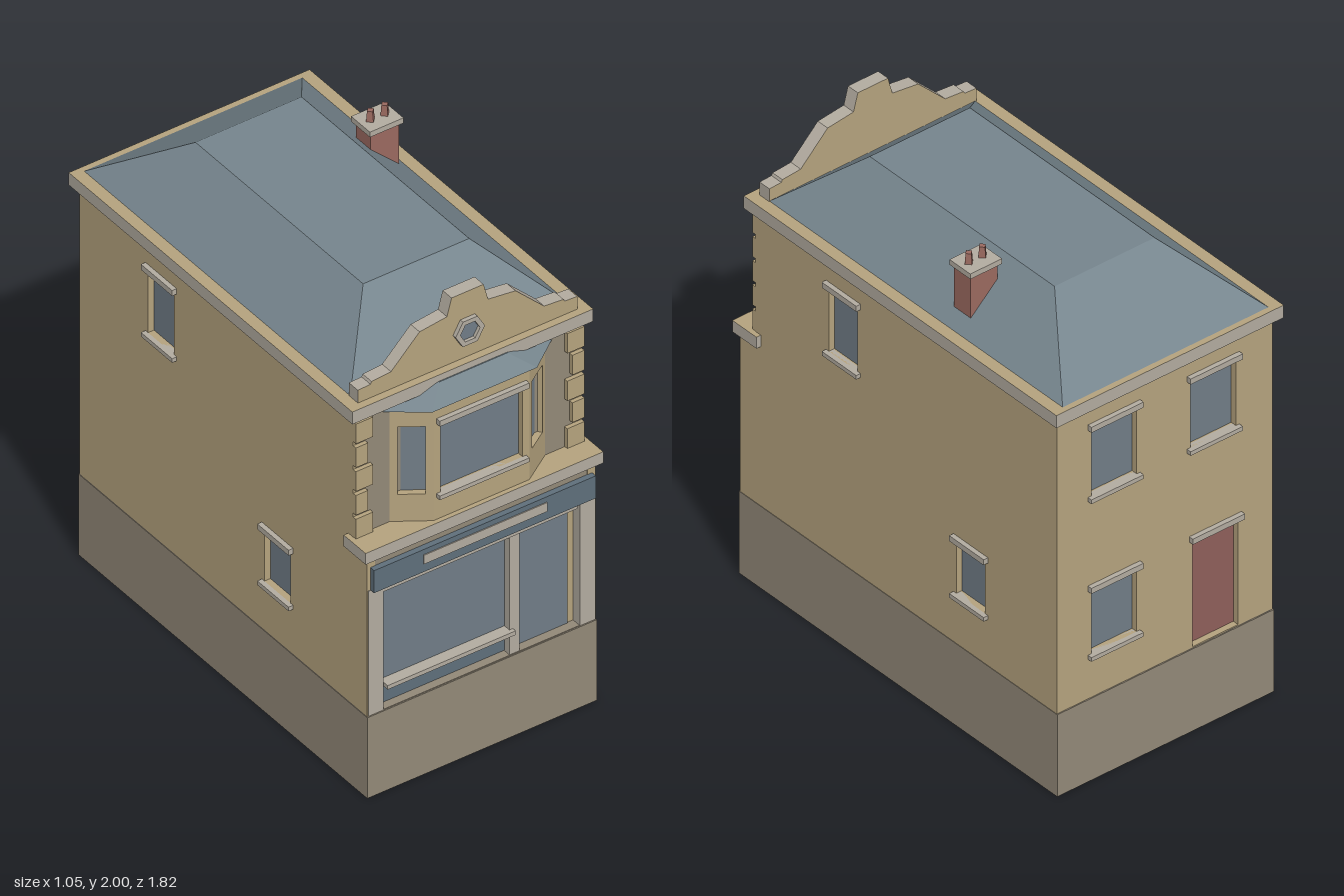
import * as THREE from 'three';
import { ConvexGeometry } from 'three/addons/geometries/ConvexGeometry.js';

const mat = (name, color) => Object.assign(new THREE.MeshStandardMaterial({ color }), { name });

export function createModel() {
  const wall = mat('sand wall', 0xb5a37e);
  const stone = mat('pale stone', 0xb3aca0);
  const plinth = mat('brown stone', 0x938978);
  const slate = mat('roof slate', 0x76858d);
  const glass = mat('window glass', 0x717d87);
  const paint = mat('shop paint', 0x5f6f7b);
  const brick = mat('chimney brick', 0x9b6a60);
  const doorRed = mat('door red', 0x8f5f5b);

  const model = new THREE.Group();
  model.name = 'cornerShop';

  const add = (parent, name, geometry, material) => {
    const mesh = new THREE.Mesh(geometry, material);
    mesh.name = name;
    parent.add(mesh);
    return mesh;
  };
  // Box given by its limits on each axis
  const box = (parent, name, [x0, x1], [y0, y1], [z0, z1], material) => {
    const mesh = add(parent, name, new THREE.BoxGeometry(x1 - x0, y1 - y0, z1 - z0), material);
    mesh.position.set((x0 + x1) / 2, (y0 + y1) / 2, (z0 + z1) / 2);
    return mesh;
  };
  const polygon = (points) => new THREE.Shape(points.map(([x, y]) => new THREE.Vector2(x, y)));
  const rect = (x0, x1, y0, y1) => polygon([[x0, y0], [x1, y0], [x1, y1], [x0, y1]]);
  const hull = (points) => new ConvexGeometry(points.map((p) => new THREE.Vector3(...p)));

  // Wall panel facing local +z, with recessed panes and optional lintel and sill
  const facade = (name, outline, openings) => {
    const group = new THREE.Group();
    group.name = name;
    const shape = polygon(outline);
    for (const { x, w, y0, y1, pane = glass, lintel, sill } of openings) {
      shape.holes.push(rect(x - w / 2, x + w / 2, y0, y1));
      box(group, pane === glass ? 'windowPane' : 'backDoor', [x - w / 2, x + w / 2], [y0, y1], [-0.034, -0.026], pane);
      const trim = [x - w / 2 - 0.016, x + w / 2 + 0.016];
      if (lintel) box(group, 'lintel', trim, [y1, y1 + 0.024], [-0.02, 0.02], stone);
      if (sill) box(group, 'sill', trim, [y0 - 0.018, y0], [-0.02, 0.02], stone);
    }
    const panel = add(group, name + 'Panel', new THREE.ExtrudeGeometry(shape, { depth: 0.036, bevelEnabled: false }), wall);
    panel.position.z = -0.036;
    model.add(group);
    return group;
  };

  // Hollow plinth and floor
  const ring = rect(-0.502, 0.502, -0.89, 0.885);
  ring.holes.push(rect(-0.494, 0.494, -0.882, 0.877));
  const base = add(model, 'plinth', new THREE.ExtrudeGeometry(ring, { depth: 0.36, bevelEnabled: false }), plinth);
  base.rotation.x = -Math.PI / 2;
  box(model, 'floor', [-0.5, 0.5], [0.353, 0.363], [-0.88, 0.885], plinth);

  // Side walls, deeper at the ground floor than above
  for (const s of [1, -1]) {
    const outline = [[-0.885, 0.36], [0.88, 0.36], [0.88, 1.65], [-0.8, 1.65], [-0.8, 1.1], [-0.885, 1.1]];
    const [zUpper, zLower] = s > 0 ? [0.31, -0.4] : [-0.38, 0.335];
    const side = facade(s > 0 ? 'leftWall' : 'rightWall', outline.map(([z, y]) => [s * z, y]), [
      { x: -s * zUpper, w: 0.16, y0: 1.25, y1: 1.53, lintel: true, sill: true },
      { x: -s * zLower, w: 0.16, y0: 0.58, y1: 0.81, lintel: true, sill: true },
    ]);
    side.rotation.y = s * Math.PI / 2;
    side.position.x = s * 0.5;
  }

  // Back wall with three windows and a door
  const back = facade('backWall', [[-0.5, 0.36], [0.5, 0.36], [0.5, 1.65], [-0.5, 1.65]], [
    { x: -0.235, w: 0.21, y0: 1.245, y1: 1.54, lintel: true, sill: true },
    { x: 0.225, w: 0.21, y0: 1.245, y1: 1.54, lintel: true, sill: true },
    { x: -0.235, w: 0.21, y0: 0.552, y1: 0.832, lintel: true, sill: true },
    { x: 0.235, w: 0.21, y0: 0.366, y1: 0.832, pane: doorRed, lintel: true },
  ]);
  back.rotation.y = Math.PI;
  back.position.z = -0.88;

  // Shop front
  const shop = new THREE.Group();
  shop.name = 'shopFront';
  model.add(shop);
  box(shop, 'shopBacking', [-0.48, 0.48], [0.36, 0.92], [0.82, 0.845], wall);
  box(shop, 'shopWindow', [-0.405, 0.13], [0.47, 0.89], [0.845, 0.852], glass);
  box(shop, 'stallPanel', [-0.405, 0.13], [0.366, 0.456], [0.845, 0.853], paint);
  box(shop, 'shopDoor', [0.17, 0.402], [0.366, 0.89], [0.845, 0.852], glass);
  box(shop, 'shopSill', [-0.42, 0.14], [0.456, 0.474], [0.845, 0.9], stone);
  box(shop, 'transom', [-0.43, 0.42], [0.89, 0.915], [0.845, 0.888], stone);
  box(shop, 'middlePost', [0.125, 0.168], [0.363, 0.89], [0.845, 0.883], stone);
  for (const s of [1, -1]) {
    const x = [s * 0.43, s * 0.495].sort((a, b) => a - b);
    box(shop, 'pilaster', x, [0.363, 0.92], [0.84, 0.888], stone);
  }
  box(shop, 'frontBeam', [-0.495, 0.495], [0.915, 1.07], [0.84, 0.884], plinth);
  box(shop, 'fascia', [-0.485, 0.485], [0.92, 1.02], [0.88, 0.908], paint);
  box(shop, 'signStrip', [-0.27, 0.27], [0.957, 0.997], [0.907, 0.912], stone);

  // Cornices: pale edges, sand tops
  const capped = [stone, stone, wall, stone, stone, stone];
  box(model, 'lowerCornice', [-0.52, 0.52], [1.06, 1.11], [0.77, 0.905], capped);
  box(model, 'upperCornice', [-0.527, 0.527], [1.645, 1.7], [-0.91, 0.833], capped);

  // Upper front wall and quoins
  box(model, 'upperFrontWall', [-0.495, 0.495], [1.1, 1.65], [0.77, 0.8], plinth);
  for (const s of [1, -1]) {
    for (let i = 0; i < 5; i++) {
      const inner = i % 2 ? 0.447 : 0.425;
      const x = [s * inner, s * 0.5].sort((a, b) => a - b);
      const y = 1.112 + i * 0.106;
      box(model, 'quoin', x, [y, y + 0.088], [0.79, 0.817], wall);
    }
  }

  // Bay window: a front panel and two angled flanks
  const bayPanel = (w) => [[-w / 2, 1.11], [w / 2, 1.11], [w / 2, 1.615], [-w / 2, 1.615]];
  facade('bayFront', bayPanel(0.42), [{ x: 0, w: 0.36, y0: 1.225, y1: 1.535, lintel: true, sill: true }]).position.z = 0.886;
  for (const s of [1, -1]) {
    const flank = facade('bayFlank', bayPanel(0.156), [{ x: 0, w: 0.1, y0: 1.23, y1: 1.53 }]);
    flank.position.set(s * 0.275, 0, 0.843);
    flank.rotation.y = s * Math.atan2(0.086, 0.13);
  }
  add(model, 'bayRoof', hull([-1, 1].flatMap((s) => [
    [s * 0.37, 1.612, 0.8], [s * 0.23, 1.612, 0.905], [s * 0.15, 1.672, 0.837], [s * 0.15, 1.672, 0.8],
  ])), slate);

  // Hipped main roof with a flat top
  add(model, 'mainRoof', hull([-1, 1].flatMap((s) => [
    [s * 0.477, 1.7, 0.75], [s * 0.477, 1.7, -0.885], [s * 0.232, 1.93, 0.485], [s * 0.232, 1.93, -0.545],
  ])), slate);

  // Shaped gable: sand faces, pale coping edge
  const half = [[0.48, 1.698], [0.48, 1.757], [0.425, 1.76], [0.42, 1.77], [0.335, 1.777],
    [0.21, 1.9], [0.09, 1.915], [0.07, 1.99]];
  const outline = [...half, ...half.map(([x, y]) => [-x, y]).reverse()];
  const gable = add(model, 'gable', new THREE.ExtrudeGeometry(polygon(outline), { depth: 0.055, bevelEnabled: false }), [wall, stone]);
  gable.position.z = 0.746;

  // Hexagonal gable light
  const hexagon = (r) => polygon(Array.from({ length: 6 }, (_, i) => [r * Math.cos(i * Math.PI / 3), r * Math.sin(i * Math.PI / 3)]));
  const frame = hexagon(0.064);
  frame.holes.push(hexagon(0.043));
  add(model, 'gableLightFrame', new THREE.ExtrudeGeometry(frame, { depth: 0.018, bevelEnabled: false }), stone).position.set(0, 1.82, 0.8);
  add(model, 'gableLight', new THREE.ExtrudeGeometry(hexagon(0.044), { depth: 0.005, bevelEnabled: false }), glass).position.set(0, 1.82, 0.8);

  // Chimney
  const chimney = new THREE.Group();
  chimney.name = 'chimney';
  model.add(chimney);
  box(chimney, 'chimneyStack', [0.302, 0.425], [1.72, 1.935], [-0.31, -0.218], brick);
  box(chimney, 'chimneyCap', [0.29, 0.437], [1.932, 1.955], [-0.322, -0.206], stone);
  for (const x of [0.333, 0.396]) {
    const pot = add(chimney, 'chimneyPot', new THREE.CylinderGeometry(0.015, 0.019, 0.047, 4).toNonIndexed(), brick);
    pot.geometry.computeVertexNormals();
    pot.position.set(x, 1.977, -0.264);
  }
  return model;
}
